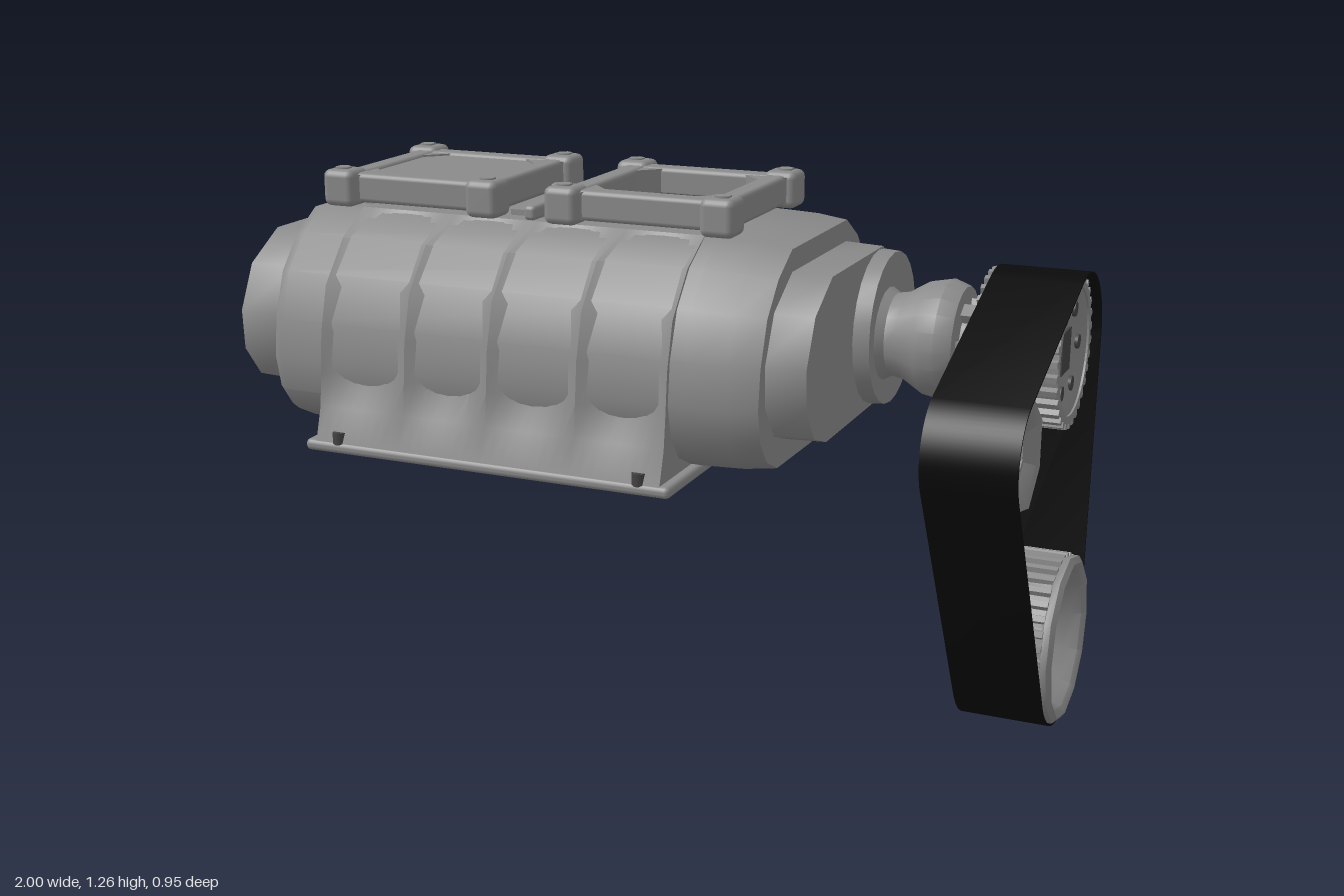
import * as THREE from 'three';
import { toCreasedNormals } from 'three/addons/utils/BufferGeometryUtils.js';
import { RoundedBoxGeometry } from 'three/addons/geometries/RoundedBoxGeometry.js';

export function createModel() {
  const model = new THREE.Group();
  const mat = (name, color) => Object.assign(new THREE.MeshStandardMaterial({ color }), { name });
  const metal = mat('grey metal', 0x8a8a8a);
  const dark = mat('dark recess', 0x444444);
  const rubber = mat('black rubber', 0x0a0a0a);

  function add(name, geo, material = metal, x = 0, y = 0, z = 0, parent = model) {
    const m = new THREE.Mesh(geo, material);
    m.name = name;
    m.position.set(x, y, z);
    parent.add(m);
    return m;
  }
  // Loft along x through mirrored half sections of [z, y] points
  function loft(sections, crease = 0.6) {
    const pos = [], idx = [];
    const rings = sections.map(([x, half]) => {
      const other = half.slice(1, -1).reverse().map(([z, y]) => [-z, y]);
      return [...half, ...other].map(([z, y]) => [x, y, z - 0.01]);
    });
    const n = rings[0].length;
    const flat = (r) => r.map(() => [r[0][0], 0.9, -0.01]);
    const all = [flat(rings[0]), ...rings, flat(rings[rings.length - 1])];
    all.forEach((r) => r.forEach((p) => pos.push(...p)));
    for (let i = 0; i < all.length - 1; i++) for (let j = 0; j < n; j++) {
      const a = i * n + j, b = i * n + (j + 1) % n;
      if (i > 0) idx.push(a, b, a + n);
      if (i < all.length - 2) idx.push(b, b + n, a + n);
    }
    const g = new THREE.BufferGeometry();
    g.setAttribute('position', new THREE.Float32BufferAttribute(pos, 3));
    g.setIndex(idx);
    return toCreasedNormals(g, crease);
  }
  // Turn a [radius, x] profile around the x direction
  function turned(profile, sides, crease = 0.6) {
    const g = new THREE.LatheGeometry(profile.map(([r, x]) => new THREE.Vector2(r, x)), sides);
    return toCreasedNormals(g.rotateZ(-Math.PI / 2), crease);
  }
  // Extrude a shape drawn in (-z, y) along x
  const extrudeX = (shape, x, depth) => new THREE.ExtrudeGeometry(shape,
    { depth, bevelEnabled: false, curveSegments: 24 }).rotateY(Math.PI / 2).translate(x, 0, 0);
  function gear(teeth, r, root, hole) {
    const pts = [];
    for (let i = 0; i < teeth; i++) [[0, root], [0.4, root], [0.5, r], [0.9, r]].forEach(([f, q]) => {
      const a = (i + f) / teeth * Math.PI * 2;
      pts.push(new THREE.Vector2(Math.cos(a) * q, Math.sin(a) * q));
    });
    const s = new THREE.Shape(pts);
    s.holes.push(new THREE.Path().absarc(0, 0, hole, 0, Math.PI * 2, true));
    return s;
  }

  // Smooth barrel of the housing
  const barrel = [[0, 1.165], [0.2, 1.165], [0.29, 1.11], [0.36, 1.03], [0.4, 0.92], [0.412, 0.82],
    [0.395, 0.74], [0.35, 0.68], [0.28, 0.645], [0, 0.64]];
  const scaled = (half, kz, ky) => half.map(([z, y]) => [z * kz, 0.9 + (y - 0.9) * ky]);
  add('housingBarrel', loft([[-0.885, scaled(barrel, 0.97, 0.97)], [-0.86, barrel], [0.2, barrel],
    [0.3, scaled(barrel, 0.99, 0.985)], [0.375, scaled(barrel, 0.96, 0.95)]]));
  // Stepped end covers
  const cover = [[0, 1.1], [0.2, 1.1], [0.32, 1.03], [0.375, 0.92], [0.37, 0.82], [0.31, 0.74], [0.22, 0.71], [0, 0.71]];
  add('rearCover', loft([[-1, scaled(cover, 0.98, 0.98)], [-0.87, cover]]));
  add('frontCover', loft([[0.36, scaled(cover, 0.95, 1)], [0.47, scaled(cover, 0.93, 0.98)]]));
  add('frontBoss', turned([[0, 0], [0.19, 0], [0.185, 0.07], [0, 0.07]], 24), metal, 0.44, 0.905, -0.165);

  // Ribbed middle of the housing, hollowed between the ribs
  const ribbed = [[0, 1.168], [0.2, 1.168], [0.3, 1.11], [0.385, 1.01], [0.415, 0.9], [0.425, 0.8],
    [0.435, 0.72], [0.46, 0.64], [0, 0.64]];
  const ribs = [-0.74, -0.51, -0.29, -0.06, 0.165];
  const steps = 8, ribSections = [];
  for (let b = 0; b < 4; b++) for (let s = b ? 1 : 0; s <= steps; s++) {
    const t = s / steps, d = 0.036 * Math.sin(Math.PI * t);
    ribSections.push([ribs[b] + (ribs[b + 1] - ribs[b]) * t, ribbed.map(([z, y], i) =>
      (i > 1 && i < 6 ? [z - d, y - (y > 1 ? d * 0.3 : 0)] : [z, y]))]);
  }
  add('ribbedHousing', loft(ribSections, 0.5));

  // Mounting flange and its bolts
  add('mountingFlange', new RoundedBoxGeometry(0.96, 0.028, 0.93, 2, 0.012), metal, -0.29, 0.629, -0.01);
  for (const x of [-0.68, -0.45, -0.15, 0.11]) for (const z of [-0.458, 0.438])
    if (z < 0 || x < -0.6 || x > 0) add('flangeBolt', new THREE.CylinderGeometry(0.018, 0.018, 0.03, 8), dark, x, 0.652, z);

  // Two inlet frames on top, one closed and one open
  function inlet(name, cx, open) {
    const g = new THREE.Group();
    g.name = name;
    g.position.set(cx, 1.215, -0.015);
    model.add(g);
    for (const s of [-1, 1]) {
      add('longBar', new RoundedBoxGeometry(0.4, 0.072, 0.055, 2, 0.012), metal, 0, 0, s * 0.187, g);
      add('crossBar', new RoundedBoxGeometry(0.055, 0.072, 0.38, 2, 0.012), metal, s * 0.187, 0, 0, g);
      for (const t of [-1, 1]) {
        add('cornerLug', new RoundedBoxGeometry(0.085, 0.09, 0.085, 2, 0.018), metal, s * 0.197, 0, t * 0.203, g);
        const web = add('cornerWeb', new THREE.BoxGeometry(0.085, 0.065, 0.085), metal, s * 0.165, 0, t * 0.168, g);
        web.rotation.y = Math.PI / 4;
        add('lugBolt', new THREE.CylinderGeometry(0.02, 0.02, 0.012, 6), metal, s * 0.2, 0.043, t * 0.205, g);
      }
    }
    add('gasket', new THREE.BoxGeometry(0.36, 0.025, 0.3), metal, 0, -0.047, 0, g);
    if (open) add('inletOpening', new THREE.BoxGeometry(0.32, 0.006, 0.32), dark, 0, -0.03, 0, g);
    else add('closingPlate', new THREE.BoxGeometry(0.36, 0.05, 0.36), metal, 0, 0.003, 0, g);
  }
  inlet('closedInlet', -0.593, false);
  inlet('openInlet', 0.01, true);
  // Linkage between the inlets
  add('linkageBar', new RoundedBoxGeometry(0.03, 0.035, 0.42, 2, 0.01), metal, -0.28, 1.187, -0.01);
  add('linkagePlate', new THREE.BoxGeometry(0.13, 0.02, 0.32), metal, -0.295, 1.172, -0.02);
  add('linkageKnob', new THREE.SphereGeometry(0.018, 10, 8), metal, -0.28, 1.22, 0.05);

  // Drive snout
  const py = 0.9, pz = -0.128;
  add('driveSnout', turned([[0, 0.49], [0.125, 0.49], [0.1, 0.53], [0.105, 0.56], [0.135, 0.61], [0.145, 0.66],
    [0.13, 0.7], [0.08, 0.705], [0.08, 0.76], [0, 0.76]], 20), metal, 0, py, pz);
  for (let i = 0; i < 6; i++) {
    const a = i * Math.PI / 3;
    const fin = add('hubFin', new THREE.BoxGeometry(0.08, 0.04, 0.03), metal, 0.73, py + Math.sin(a) * 0.085, pz + Math.cos(a) * 0.085);
    fin.rotation.x = -a;
  }

  // Upper toothed pulley with a shallow dished face
  add('upperPulleyTeeth', extrudeX(gear(32, 0.182, 0.168, 0.15), 0.755, 0.205), metal, 0, py, pz);
  add('upperPulleyFace', turned([[0, 0.765], [0.155, 0.765], [0.16, 0.955], [0.14, 0.955], [0.12, 0.945], [0.06, 0.935], [0, 0.935]], 24), metal, 0, py, pz);
  for (let i = 0; i < 6; i++) {
    const a = i * Math.PI / 3;
    add('pulleyHole', new THREE.CylinderGeometry(0.018, 0.018, 0.009, 12).rotateZ(Math.PI / 2), dark,
      0.943, py + Math.sin(a) * 0.103, pz + Math.cos(a) * 0.103);
  }
  add('shaftSocket', new THREE.BoxGeometry(0.009, 0.1, 0.085), dark, 0.937, py, pz + 0.005);

  // Lower pulley: toothed ring around an open funnel
  const ly = 0.21, lz = -0.075;
  add('lowerPulleyTeeth', extrudeX(gear(36, 0.206, 0.194, 0.17), 0.775, 0.2), metal, 0, ly, lz);
  add('lowerPulleyFunnel', turned([[0.04, 0.8], [0.17, 0.765], [0.19, 0.765], [0.196, 0.97], [0.204, 0.975], [0.204, 0.99],
    [0.19, 1], [0.172, 0.99], [0.16, 0.96], [0.04, 0.82], [0.04, 0.8]], 12, 0.7), metal, 0, ly, lz);

  // Seven-sided idler with a recessed hub
  const iy = 0.78, iz = 0.335;
  add('idlerPulley', turned([[0, 0.78], [0.13, 0.78], [0.136, 0.95], [0.125, 0.97], [0.105, 0.965], [0.055, 0.93],
    [0.05, 0.95], [0.035, 0.95], [0.03, 0.93], [0, 0.93]], 7, 0.4), metal, 0, iy, iz);

  // Belt wrapped around all three pulleys
  const wheels = [[-pz, py, 0.187], [-lz, ly, 0.209], [-iz, iy, 0.138]];
  function wrap(offset) {
    const pts = [];
    for (let i = 0; i < 72; i++) {
      const c = Math.cos(i * Math.PI / 36), s = Math.sin(i * Math.PI / 36);
      const reach = (w) => w[0] * c + w[1] * s + w[2];
      const w = wheels.reduce((p, q) => (reach(q) > reach(p) ? q : p));
      pts.push(new THREE.Vector2(w[0] + c * (w[2] + offset), w[1] + s * (w[2] + offset)));
    }
    return pts;
  }
  const belt = new THREE.Shape(wrap(0.001));
  belt.holes.push(new THREE.Path(wrap(-0.004)));
  add('driveBelt', toCreasedNormals(extrudeX(belt, 0.77, 0.212), 0.5), rubber);

  // Thin pin hanging under the upper pulley
  const pin = add('hangingPin', new THREE.CylinderGeometry(0.005, 0.005, 0.13, 6), metal, 0.85, 0.62, -0.157);
  pin.rotation.x = 0.3;
  return model;
}
